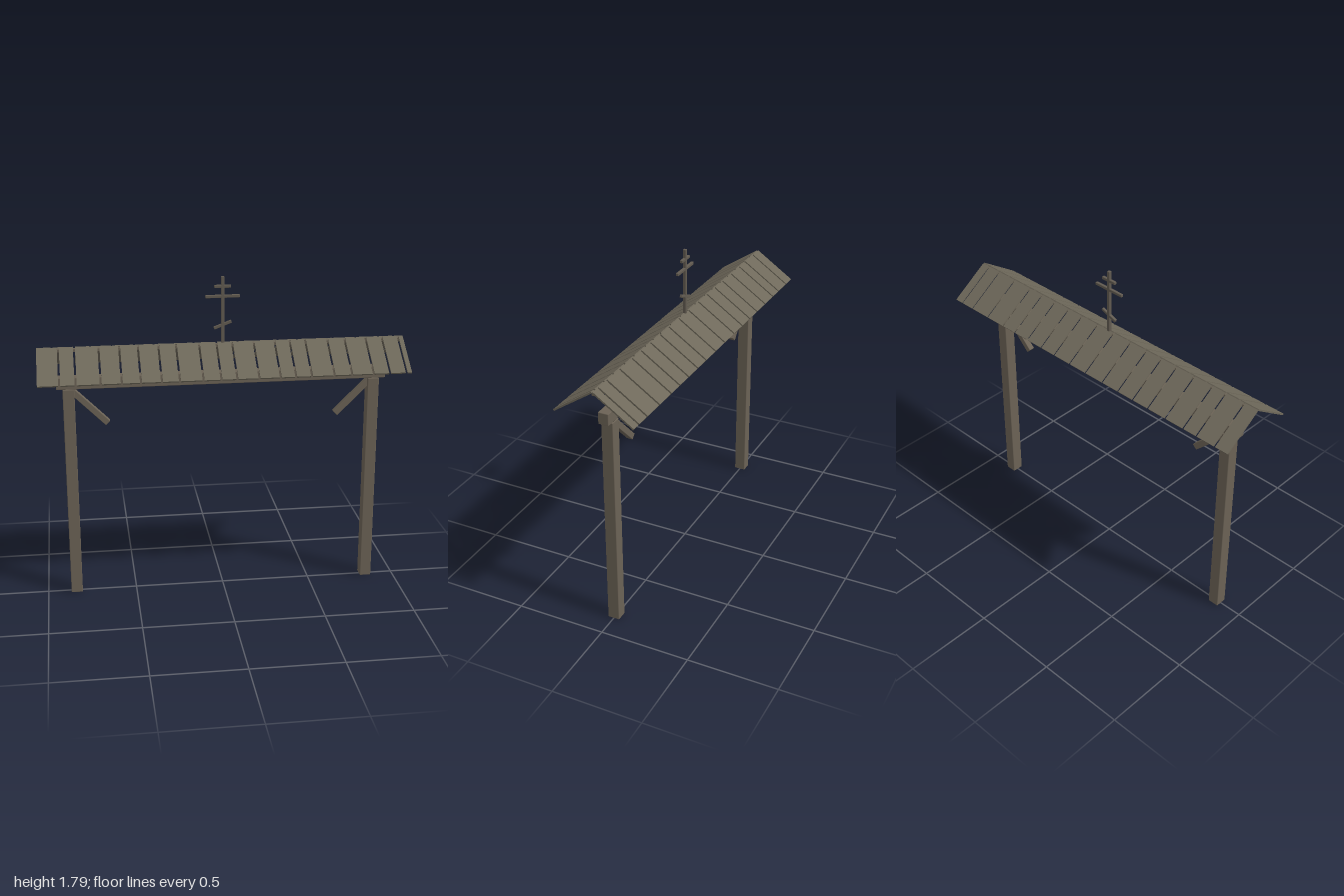
import * as THREE from 'three';
import { RoundedBoxGeometry } from 'three/addons/geometries/RoundedBoxGeometry.js';

const timberMat = new THREE.MeshStandardMaterial({ name: 'timber', color: 0x6b6255 });
const plankMat = new THREE.MeshStandardMaterial({ name: 'roofPlank', color: 0x6e685a });
const crossMat = new THREE.MeshStandardMaterial({ name: 'crossWood', color: 0x615a50 });

// Timber with slightly softened edges
function timber(name, size, pos, mat = timberMat, bevel = 0.004, tilt = 0) {
  const mesh = new THREE.Mesh(new RoundedBoxGeometry(...size, 1, bevel), mat);
  mesh.name = name;
  mesh.position.set(...pos);
  mesh.rotation.z = tilt;
  return mesh;
}

// One roof slope: planks run from ridge to eave, split by narrow gaps
function roofSlope(name, side, gaps) {
  const slope = new THREE.Group();
  slope.name = name;
  const length = 0.262, thickness = 0.009, gap = 0.011;
  const edges = [-1 - gap / 2, ...gaps, 1 + gap / 2];
  for (let i = 0; i < edges.length - 1; i++) {
    const width = edges[i + 1] - edges[i] - gap;
    const plank = new THREE.Mesh(new THREE.BoxGeometry(width, thickness, length), plankMat);
    plank.name = 'roofPlank';
    plank.position.x = (edges[i] + edges[i + 1]) / 2;
    slope.add(plank);
  }
  slope.position.set(0, 1.357, side * 0.11);
  slope.rotation.x = side * 0.595;
  return slope;
}

export function createModel() {
  const model = new THREE.Group();
  model.name = 'roofedGate';

  // Posts and diagonal braces, mirrored
  for (const s of [-1, 1]) {
    const label = s > 0 ? 'left' : 'right';
    model.add(timber(label + 'Post', [0.064, 1.205, 0.066], [s * 0.839, 0.6025, 0]));
    model.add(timber(label + 'Brace', [0.27, 0.034, 0.034],
      [s * 0.727, 1.098, 0], timberMat, 0.003, s * Math.PI / 4));
  }

  // Lintel across the posts
  model.add(timber('lintel', [1.81, 0.066, 0.058], [0, 1.238, 0]));

  // Plank roof with uneven board widths
  const roof = new THREE.Group();
  roof.name = 'roof';
  roof.add(roofSlope('frontSlope', 1, [
    -0.885, -0.8, -0.67, -0.56, -0.46, -0.35, -0.255, -0.13, -0.035, 0.05,
    0.168, 0.283, 0.366, 0.452, 0.575, 0.671, 0.789, 0.88, 0.971]));
  roof.add(roofSlope('backSlope', -1, [
    -0.917, -0.8, -0.714, -0.596, -0.478, -0.374, -0.27, -0.158, -0.035, 0.083,
    0.2, 0.302, 0.409, 0.511, 0.607, 0.735, 0.864, 0.949]));
  roof.add(timber('ridgePole', [1.98, 0.018, 0.018], [0, 1.416, 0], timberMat, 0.002));
  model.add(roof);

  // Three-barred cross on the ridge
  const cross = new THREE.Group();
  cross.name = 'ridgeCross';
  const bar = (name, w, y, tilt) =>
    cross.add(timber(name, [w, 0.016, 0.016], [0, y, 0], crossMat, 0.003, tilt));
  cross.add(timber('crossShaft', [0.017, 0.387, 0.018], [0, 1.6005, 0], crossMat, 0.003));
  bar('topBar', 0.09, 1.739, 0);
  bar('mainBar', 0.186, 1.685, 0);
  bar('slantedBar', 0.102, 1.529, 0.36);
  model.add(cross);

  return model;
}
